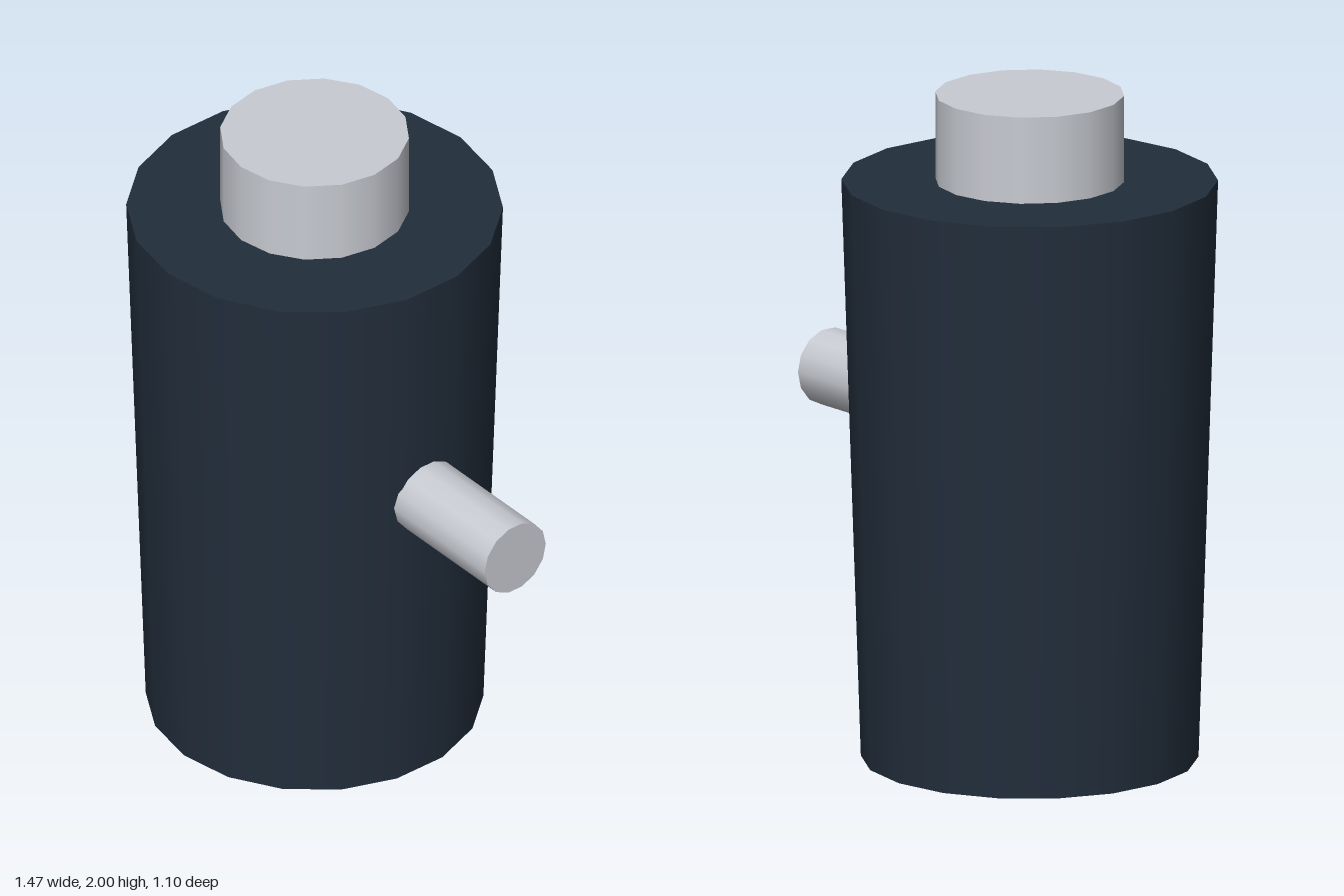
import * as THREE from 'three';

export function createModel() {
  const model = new THREE.Group();
  const darkBlue = new THREE.MeshStandardMaterial({ name: 'darkBlue', color: 0x222e3c });
  const paleMetal = new THREE.MeshStandardMaterial({ name: 'paleMetal', color: 0xc8cbd2 });
  const axisX = -0.195; // upright axis of body and neck

  function cylinder(name, rTop, rBottom, length, sides, material) {
    const mesh = new THREE.Mesh(new THREE.CylinderGeometry(rTop, rBottom, length, sides), material);
    mesh.name = name;
    model.add(mesh);
    return mesh;
  }

  // Tapered body standing on the ground
  cylinder('body', 0.55, 0.493, 1.74, 18, darkBlue).position.set(axisX, 0.87, 0);

  // Short neck on top
  cylinder('neck', 0.277, 0.277, 0.28, 16, paleMetal).position.set(axisX, 1.86, 0);

  // Side spout, sunk into the body wall
  const spout = cylinder('spout', 0.115, 0.115, 0.53, 14, paleMetal);
  spout.rotation.z = -Math.PI / 2;
  spout.position.set(0.468, 0.988, 0);

  return model;
}
